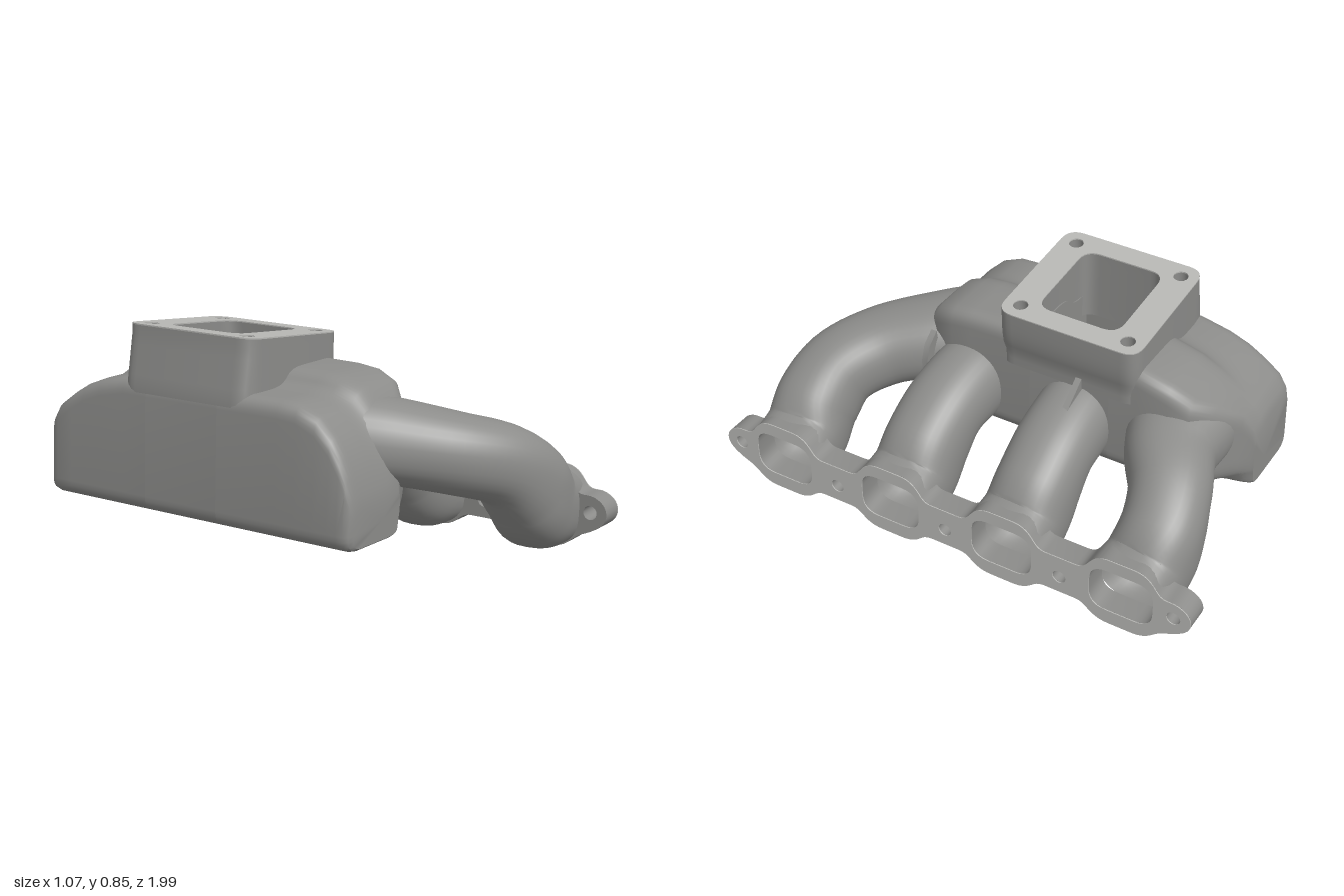
import * as THREE from 'three';
import { toCreasedNormals } from 'three/addons/utils/BufferGeometryUtils.js';

const cast = new THREE.MeshStandardMaterial({ color: 0x8c8c8a, side: THREE.DoubleSide });
cast.name = 'castMetal';
const machined = new THREE.MeshStandardMaterial({ color: 0xb8b8b5 });
machined.name = 'machinedFace';

const V = (x, y, z) => new THREE.Vector3(x, y, z);

function add(group, name, geo, mat = cast, crease = 0.7) {
  const mesh = new THREE.Mesh(toCreasedNormals(geo, crease), mat);
  mesh.name = name;
  group.add(mesh);
}

// Skin over rings of equal length, each counter-clockwise about the travel direction
function loft(rings, capped) {
  const n = rings[0].length, pos = [], idx = [];
  rings.forEach(r => r.forEach(p => pos.push(p.x, p.y, p.z)));
  for (let i = 0; i < rings.length - 1; i++) {
    for (let j = 0; j < n; j++) {
      const a = i * n + j, b = i * n + (j + 1) % n;
      idx.push(a, b, a + n, b, b + n, a + n);
    }
  }
  if (capped) {
    [0, rings.length - 1].forEach((r, end) => {
      const c = pos.length / 3;
      pos.push(-0.32, 0.24, rings[r][0].z);
      for (let j = 0; j < n; j++) {
        const a = r * n + j, b = r * n + (j + 1) % n;
        if (end) idx.push(c, a, b); else idx.push(c, b, a);
      }
    });
  }
  const g = new THREE.BufferGeometry();
  g.setAttribute('position', new THREE.Float32BufferAttribute(pos, 3));
  g.setIndex(idx);
  g.computeVertexNormals();
  return g;
}

// Polygon with each corner replaced by a short curve
function rounded(pts, radius, steps = 6) {
  const P = pts.map(p => new THREE.Vector2(p[0], p[1])), out = [];
  P.forEach((p, i) => {
    const toward = q => p.clone().lerp(q, Math.min(radius / p.distanceTo(q), 0.45));
    const a = toward(P[(i + P.length - 1) % P.length]);
    const b = toward(P[(i + 1) % P.length]);
    out.push(...new THREE.QuadraticBezierCurve(a, p, b).getPoints(steps));
  });
  return out;
}

const rect = (w, h) => [[-w, -h], [w, -h], [w, h], [-w, h]];
const circle = (x, y, r) => new THREE.Path().absarc(x, y, r, 0, Math.PI * 2, true);

// Plenum outline in x and y: back wall, sloping underside, port wall, stepped roof
const lower = xr => [[-0.535, 0.16], [-0.22, 0.155], [-0.22 + (xr + 0.22) * 0.45, 0.21], [xr, 0.25]];
function station([z, yl, yr, xr, s]) {
  const pts = [...lower(xr), [xr, yr], [-0.24, yr], [-0.3, yl], [-0.515, yl]];
  return rounded(pts, 0.06).map(p => V(-0.32 + (p.x + 0.32) * s, 0.24 + (p.y - 0.24) * s, z));
}

function addPlenum(g) {
  // z, back roof height, front roof height, front wall x, scale
  const rear = [
    [-0.875, 0.46, 0.42, -0.2, 0.88], [-0.862, 0.48, 0.45, -0.2, 0.95],
    [-0.83, 0.51, 0.5, -0.17, 1], [-0.76, 0.56, 0.57, -0.06, 1], [-0.7, 0.595, 0.62, 0.01, 1],
    [-0.62, 0.625, 0.67, 0.03, 1], [-0.5, 0.65, 0.705, 0.03, 1], [-0.39, 0.65, 0.71, 0.03, 1],
  ];
  const front = [
    [-0.06, 0.65, 0.71, 0.03, 1], [0.2, 0.65, 0.705, 0.03, 1], [0.28, 0.645, 0.695, 0.03, 1],
    [0.36, 0.61, 0.665, 0.01, 1], [0.42, 0.55, 0.6, -0.04, 1], [0.46, 0.485, 0.52, -0.11, 1],
    [0.488, 0.42, 0.45, -0.17, 1], [0.506, 0.36, 0.38, -0.2, 0.96], [0.515, 0.32, 0.33, -0.2, 0.88],
  ];
  add(g, 'plenumRear', loft(rear.map(station), true));
  add(g, 'plenumFront', loft(front.map(station), true));

  // Middle piece is a trough that forms the inlet cavity
  const outer = rounded([...lower(0.03), [0.03, 0.69], [-0.515, 0.65]], 0.06);
  const k = outer.length - 7;   // outline splits here, where the roof begins
  const cavity = [[-0.03, 0.69], [-0.03, 0.4], [-0.4, 0.4], [-0.4, 0.65]].map(p => new THREE.Vector2(...p));
  const trough = new THREE.Shape([...outer.slice(0, k), ...cavity, ...outer.slice(k)]);
  add(g, 'plenumMiddle', new THREE.ExtrudeGeometry(trough, { depth: 0.33, bevelEnabled: false }).translate(0, 0, -0.39));
}

// Square inlet neck with a sloping top face and four bolt holes
function addInlet(g) {
  const shape = new THREE.Shape(rounded(rect(0.27, 0.286), 0.065));
  shape.holes.push(new THREE.Path(rounded(rect(0.185, 0.165), 0.06).reverse()));
  for (const x of [-0.205, 0.205]) for (const y of [-0.22, 0.22]) shape.holes.push(circle(x, y, 0.028));

  const build = (y0, y1, steps) => {
    const geo = new THREE.ExtrudeGeometry(shape, { depth: y1 - y0, steps, bevelEnabled: false, curveSegments: 8 });
    geo.rotateX(-Math.PI / 2).translate(0, y0, 0);
    const p = geo.attributes.position;
    for (let i = 0; i < p.count; i++) {
      const x = p.getX(i), y = p.getY(i);
      // Back side leans out to the plenum wall, front side tucks in to it
      const down = Math.min(1, Math.max(0, (0.8 - y) / 0.18));
      let shift = 0;
      if (x < -0.236) shift = -0.036 * down;
      if (x > 0.236) shift = -0.022 * down ** 3;
      const t = (y - 0.56) / 0.262;
      p.setXYZ(i, x + shift - 0.21, y - 0.098 * x * t, p.getZ(i) - 0.22);
    }
    geo.computeVertexNormals();
    return geo;
  };
  add(g, 'inletNeck', build(0.56, 0.818, 8));
  add(g, 'inletFace', build(0.8181, 0.8225, 1), machined);
}

// Long port flange: four lobes joined by lugs, with an ear at each end
function addPortFlange(g) {
  const ports = [-0.725, -0.24, 0.24, 0.725];
  const top = [[-0.155, 0.215], [-0.11, 0.277], [-0.07, 0.297], [0.07, 0.297], [0.11, 0.277], [0.155, 0.215]];
  const bottom = [[-0.155, 0.055], [-0.11, 0.015], [-0.07, 0], [0.07, 0], [0.11, 0.015], [0.155, 0.055]];
  const pts = [];
  ports.forEach(c => bottom.forEach(([u, y]) => pts.push([c + u, y])));
  pts.push([0.94, 0.08], [0.985, 0.11], [1, 0.15], [0.985, 0.19], [0.94, 0.217]);
  [...ports].reverse().forEach(c => [...top].reverse().forEach(([u, y]) => pts.push([c + u, y])));
  pts.push([-0.94, 0.217], [-0.985, 0.19], [-1, 0.15], [-0.985, 0.11], [-0.94, 0.08]);

  const shape = new THREE.Shape(rounded(pts, 0.025, 3));
  ports.forEach(c => {
    const hole = rounded(rect(0.126, 0.093), 0.07).reverse();
    shape.holes.push(new THREE.Path(hole.map(p => new THREE.Vector2(p.x + c, p.y + 0.152))));
  });
  [-0.93, 0.93].forEach(u => shape.holes.push(circle(u, 0.15, 0.027)));
  [-0.48, 0, 0.48].forEach(u => shape.holes.push(circle(u, 0.125, 0.027)));

  const build = (x0, x1) => new THREE.ExtrudeGeometry(shape, { depth: x1 - x0, bevelEnabled: false, curveSegments: 8 })
    .rotateY(Math.PI / 2).translate(x0, 0, 0);
  add(g, 'portFlange', build(0.437, 0.531));
  add(g, 'portFlangeFace', build(0.5311, 0.535), machined);
}

// Curved runners from the plenum down to the flange
function addRunners(g) {
  const xs = [-0.23, -0.12, 0.02, 0.17, 0.285, 0.37, 0.46];
  const elbow = [[0.15, 0.15, 0.153], [0.151, 0.165, 0.175], [0.153, 0.156, 0.175], [0.155, 0.148, 0.15]];
  const yMid = [0.42, 0.41, 0.395, 0.355, 0.265, 0.18, 0.149];
  const midRoot = [[0.155, 0.16, 0.17], [0.155, 0.16, 0.17], [0.15, 0.162, 0.166]];
  // Each runner: centre heights, centre z, root half-sizes (side, up, down), start of the sweep
  const runners = [
    { y: [0.46, 0.445, 0.415, 0.36, 0.265, 0.18, 0.149], z: [0.24, 0.4, 0.6, 0.71, 0.742, 0.738, 0.728],
      root: [[0.18, 0.19, 0.14], [0.18, 0.175, 0.135], [0.16, 0.15, 0.147]], start: 0 },
    { y: yMid, z: [0.2, 0.2, 0.215, 0.23, 0.238, 0.24, 0.24], root: midRoot, start: 0 },
    { y: yMid, z: [-0.245, -0.245, -0.245, -0.245, -0.245, -0.242, -0.24], root: midRoot, start: 0.285 },
    { y: [0.43, 0.42, 0.405, 0.36, 0.265, 0.18, 0.149], z: [-0.62, -0.62, -0.645, -0.72, -0.75, -0.742, -0.728],
      root: [[0.2, 0.18, 0.16], [0.195, 0.17, 0.165], [0.17, 0.155, 0.165]], start: 0 },
  ];
  runners.forEach(({ y, z, root, start }, r) => {
    const path = new THREE.CatmullRomCurve3(xs.map((x, i) => V(x, y[i], z[i])));
    const sizes = new THREE.CatmullRomCurve3([...root, ...elbow].map(s => V(...s)), false, 'catmullrom');
    const rings = [];
    for (let i = 0; i <= 40; i++) {
      const t = start + (1 - start) * i / 40;
      const c = path.getPoint(t), T = path.getTangent(t), s = sizes.getPoint(t);
      const side = T.clone().cross(V(0, 1, 0)).normalize(), up = side.clone().cross(T);
      const power = 0.9 - 0.2 * t ** 4;   // squarer toward the flange
      const sq = v => Math.sign(v) * Math.abs(v) ** power;
      const ring = [];
      for (let j = 0; j < 36; j++) {
        const a = -j / 36 * Math.PI * 2, v = sq(Math.sin(a));
        ring.push(c.clone().addScaledVector(side, s.x * sq(Math.cos(a))).addScaledVector(up, v * (v > 0 ? s.y : s.z)));
      }
      ring.forEach(p => { p.y = Math.max(p.y, 0); });
      rings.push(ring);
    }
    add(g, 'runner' + (r + 1), loft(rings, false), cast, 1.2);
  });
}

// Thin gussets between the plenum wall and the runners
function addRibs(g) {
  [[-0.27, 0.16, 0.61], [0.36, 0.1, 0.58]].forEach(([z, x, y]) => {
    const outline = [[0, 0.4], [x, 0.4], [x, y - 0.1], [0.08, y - 0.04], [0.03, y]];
    const rib = new THREE.Shape(outline.map(p => new THREE.Vector2(...p)));
    add(g, 'rib', new THREE.ExtrudeGeometry(rib, { depth: 0.024, bevelEnabled: false }).translate(0, 0, z - 0.012));
  });
}

export function createModel() {
  const g = new THREE.Group();
  g.name = 'manifold';
  addPlenum(g);
  addInlet(g);
  addPortFlange(g);
  addRunners(g);
  addRibs(g);
  return g;
}
